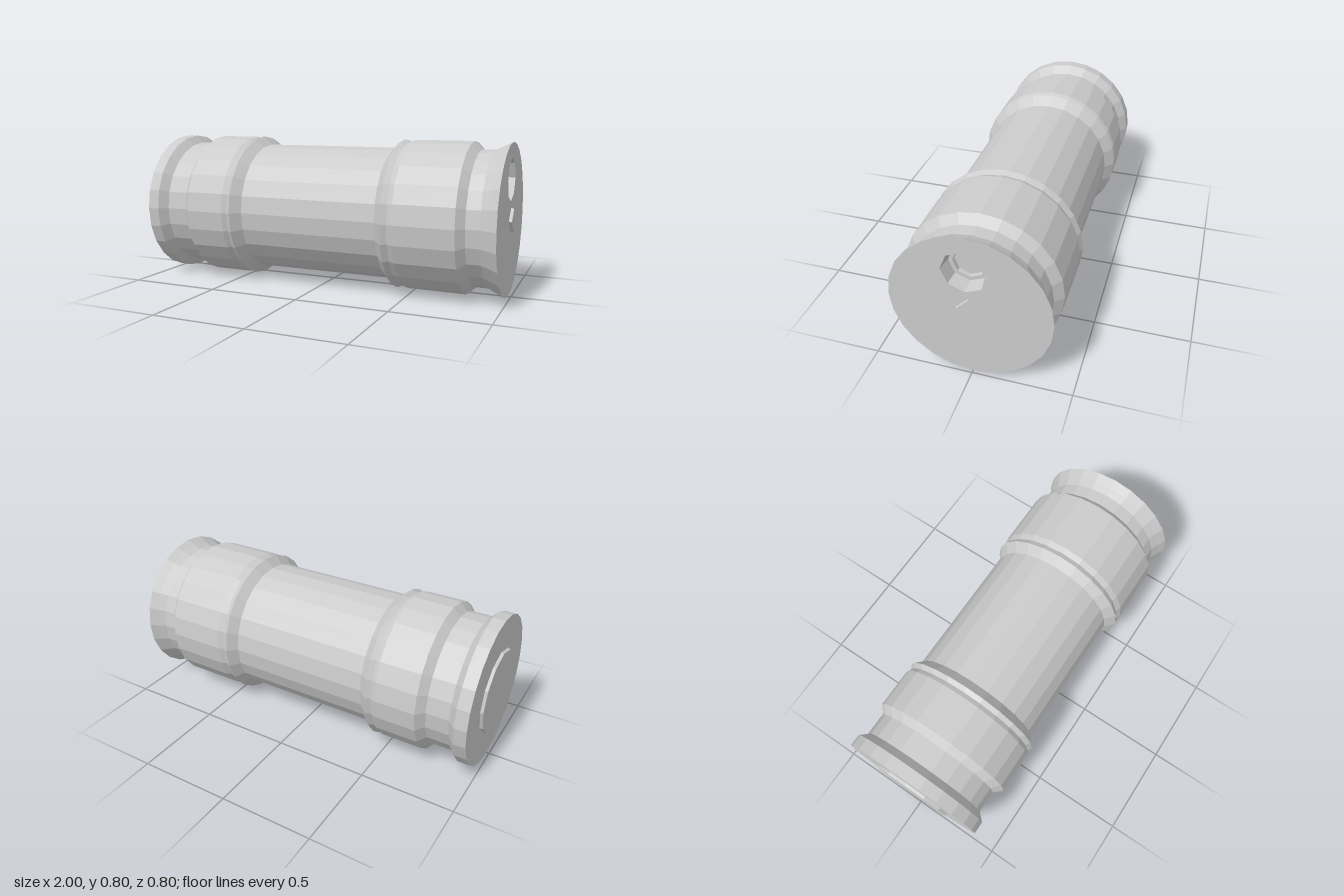
import * as THREE from 'three';

const SIDES = 24;
const CENTER_Y = 0.404;
const END_X = 0.985;

const material = new THREE.MeshStandardMaterial({ color: 0xcccccc, flatShading: true });

// Spin [x, radius] pairs around the x axis.
function turned(name, profile, sides) {
  const points = profile.map(([x, r]) => new THREE.Vector2(r, x));
  const geometry = new THREE.LatheGeometry(points, sides);
  geometry.rotateZ(-Math.PI / 2);
  const mesh = new THREE.Mesh(geometry, material);
  mesh.name = name;
  return mesh;
}

// Corners of a regular polygon in the end-face plane.
function ring(cx, cy, radius, sides) {
  return Array.from({ length: sides }, (_, i) => {
    const a = (i / sides) * Math.PI * 2;
    return new THREE.Vector2(cx + radius * Math.cos(a), cy + radius * Math.sin(a));
  });
}

export function createModel() {
  const group = new THREE.Group();
  group.name = 'cylinderCanister';

  const canister = new THREE.Group();
  canister.name = 'canister';
  canister.position.y = CENTER_Y;
  group.add(canister);

  // Stepped outer wall: rim, neck, collar, narrow middle, collar, neck, rim
  canister.add(turned('body', [
    [-0.985, 0], [-0.985, 0.4], [-0.92, 0.4], [-0.88, 0.358], [-0.76, 0.358],
    [-0.72, 0.4], [-0.5, 0.4], [-0.475, 0.388], [-0.45, 0.402],
    [-0.4, 0.356], [0.37, 0.356], [0.415, 0.402], [0.445, 0.388], [0.475, 0.4],
    [0.79, 0.4], [0.83, 0.358], [0.9, 0.358], [0.94, 0.376], [END_X, 0.4],
  ], SIDES));

  // Flat end with an opening for the port
  const portY = 0.615 - CENTER_Y;
  const portZ = 0.015;
  const face = new THREE.Shape(ring(0, 0, 0.4, SIDES));
  face.holes.push(new THREE.Path(ring(-portZ, portY, 0.112, 8).reverse()));
  const endFace = new THREE.Mesh(new THREE.ShapeGeometry(face), material);
  endFace.name = 'endFace';
  endFace.rotation.y = Math.PI / 2;
  endFace.position.x = END_X;
  canister.add(endFace);

  // Recessed eight-sided port with a stepped floor
  const port = turned('port', [
    [0, 0.112], [-0.07, 0.1], [-0.07, 0.08], [-0.09, 0.078], [-0.09, 0],
  ], 8);
  port.position.set(END_X, portY, portZ);
  canister.add(port);

  // Small pointed stud in the middle of the end face
  const stud = turned('stud', [[0, 0.065], [0.015, 0.06], [0.015, 0]], 4);
  stud.position.x = END_X;
  canister.add(stud);

  // Thin raised disc on the opposite end
  canister.add(turned('endDisc', [[-1, 0], [-1, 0.22], [-0.985, 0.225]], 12));

  return group;
}
